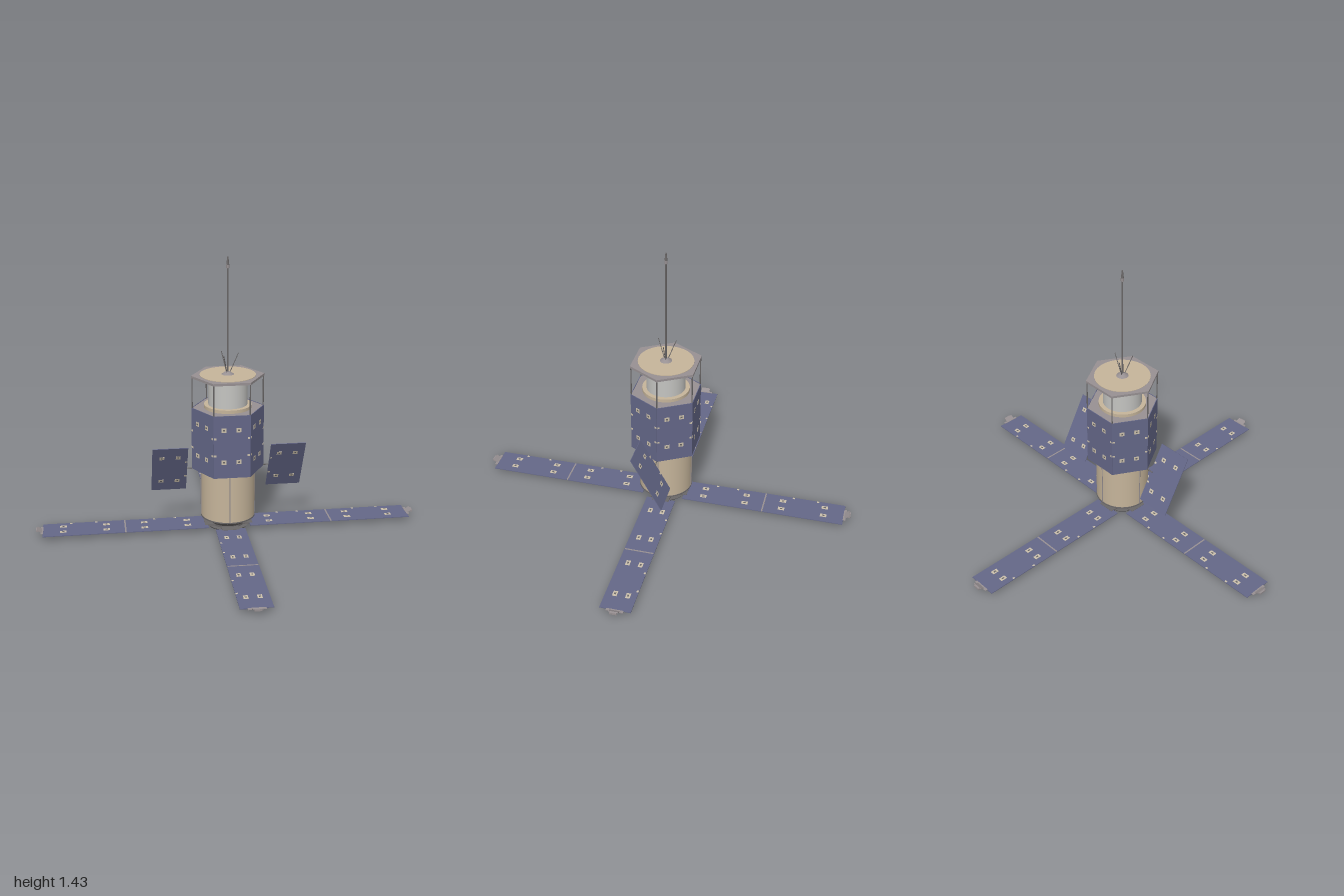
import * as THREE from 'three';

const mat = (name, color) => {
  const m = new THREE.MeshStandardMaterial({ color });
  m.name = name;
  return m;
};

export function createModel() {
  const blue = mat('solar blue', 0x646788);
  const tan = mat('tan foil', 0xc5b49a);
  const pale = mat('pale fitting', 0xcbc0ac);
  const white = mat('white shell', 0xc4c4c1);
  const grey = mat('frame grey', 0x979092);
  const dark = mat('dark metal', 0x6a6767);

  const model = new THREE.Group();
  model.name = 'satellite';

  const add = (parent, name, geometry, material, x = 0, y = 0, z = 0) => {
    const mesh = new THREE.Mesh(geometry, material);
    mesh.name = name;
    mesh.position.set(x, y, z);
    parent.add(mesh);
    return mesh;
  };
  const box = (parent, name, m, w, h, d, x, y, z) =>
    add(parent, name, new THREE.BoxGeometry(w, h, d), m, x, y, z);
  // Upright round part between two heights
  const drum = (name, m, rTop, rBottom, y0, y1, sides = 40) =>
    add(model, name, new THREE.CylinderGeometry(rTop, rBottom, y1 - y0, sides), m, 0, (y0 + y1) / 2, 0);
  // Hexagonal slab with corners on the x axis
  const hex = (name, m, r, y0, y1) => {
    const g = new THREE.CylinderGeometry(r, r, y1 - y0, 6).toNonIndexed();
    g.computeVertexNormals();
    g.rotateY(Math.PI / 2);
    return add(model, name, g, m, 0, (y0 + y1) / 2, 0);
  };
  const rod = (name, m, a, b, r) => {
    const from = new THREE.Vector3(...a), to = new THREE.Vector3(...b);
    const dir = to.clone().sub(from);
    const mesh = add(model, name, new THREE.CylinderGeometry(r, r, dir.length(), 8), m);
    mesh.position.copy(from).add(to).multiplyScalar(0.5);
    mesh.quaternion.setFromUnitVectors(new THREE.Vector3(0, 1, 0), dir.normalize());
    return mesh;
  };
  // Pale fitting with a dark centre, lying in the xy plane and showing on both faces
  const fitting = (parent, x, y, w, h) => {
    box(parent, 'panelFitting', pale, w, h, 0.0055, x, y, 0);
    box(parent, 'fittingCentre', dark, w * 0.36, h * 0.36, 0.0068, x, y, 0);
  };
  const stud = (parent, x, y) => box(parent, 'edgeStud', pale, 0.012, 0.01, 0.0055, x, y, 0);

  // Engine end
  drum('nozzle', grey, 0.04, 0.03, 0, 0.015);
  drum('baseDisc', dark, 0.11, 0.105, 0.012, 0.019);
  drum('baseNeck', dark, 0.085, 0.085, 0.018, 0.034);
  drum('baseCone', dark, 0.138, 0.09, 0.032, 0.067);
  drum('baseRim', dark, 0.142, 0.142, 0.066, 0.072);
  const ring = add(model, 'baseRing', new THREE.TorusGeometry(0.07, 0.004, 8, 32), grey, 0, 0.012, 0);
  ring.rotation.x = Math.PI / 2;

  // Lower cylinder with four conduits
  drum('lowerCylinder', tan, 0.139, 0.139, 0.07, 0.34);
  for (let i = 0; i < 4; i++) {
    const a = i * Math.PI / 2 + 0.05, x = 0.14 * Math.cos(a), z = 0.14 * Math.sin(a);
    rod('conduit', grey, [x, 0.07, z], [x, 0.335, z], 0.0025);
  }

  // Hexagonal body clad in solar panels
  hex('bodyCore', grey, 0.184, 0.33, 0.657);
  for (let i = 0; i < 6; i++) {
    const side = new THREE.Group();
    side.name = 'bodyPanel';
    side.rotation.y = i * Math.PI / 3;
    const face = new THREE.Group();
    face.position.set(0, 0.494, 0.1607);
    side.add(face);
    box(face, 'bodySolarPanel', blue, 0.186, 0.33, 0.0035, 0, 0, 0);
    for (const y of [-0.08, 0.09]) {
      for (const x of [-0.041, 0.035]) fitting(face, x, y, 0.026, 0.023);
    }
    for (const x of [-0.085, 0.085]) for (const y of [-0.045, 0.045]) stud(face, x, y);
    model.add(side);
  }

  // Upper deck
  drum('deckRing', tan, 0.122, 0.122, 0.655, 0.674);
  drum('upperCylinder', white, 0.1, 0.1, 0.67, 0.816);
  hex('topPlate', grey, 0.188, 0.816, 0.828);
  drum('topDisc', tan, 0.143, 0.143, 0.826, 0.8305);
  for (let i = 0; i < 6; i++) {
    const a = i * Math.PI / 3, x = 0.183 * Math.cos(a), z = 0.183 * Math.sin(a);
    rod('plateStrut', dark, [x, 0.65, z], [x, 0.82, z], 0.0032);
  }

  // Antenna mast and whiskers
  drum('mastFoot', grey, 0.012, 0.032, 0.83, 0.844, 24);
  drum('mast', dark, 0.004, 0.0045, 0.84, 1.385, 10);
  drum('mastCollar', grey, 0.008, 0.008, 1.373, 1.39, 12);
  drum('mastTip', dark, 0.003, 0.0075, 1.39, 1.43, 12);
  for (let i = 0; i < 3; i++) {
    const a = i * Math.PI * 2 / 3;
    const c = Math.cos(a), s = Math.sin(a);
    rod('whisker', dark, [0.01 * c, 0.838, 0.01 * s], [0.054 * c, 0.94, 0.054 * s], 0.002);
  }

  // Four long folding solar arms
  [[0, -1], [Math.PI / 2, -1], [Math.PI, 1], [-Math.PI / 2, 1]].forEach(([turn, edge]) => {
    const arm = new THREE.Group();
    arm.name = 'solarArm';
    arm.position.y = 0.0235;
    arm.rotation.y = turn;
    const flat = new THREE.Group();
    flat.rotation.x = -Math.PI / 2;
    arm.add(flat);
    box(flat, 'innerPanel', blue, 0.428, 0.155, 0.0035, 0.323, 0, 0);
    box(flat, 'outerPanel', blue, 0.422, 0.155, 0.0035, 0.754, 0, 0);
    box(flat, 'foldHinge', grey, 0.008, 0.15, 0.005, 0.54, 0, 0);
    box(flat, 'rootHinge', dark, 0.06, 0.09, 0.006, 0.095, 0, 0);
    for (const x of [0.215, 0.44, 0.637, 0.86]) {
      for (const y of [-0.035, 0.03]) fitting(flat, x, edge * y, 0.034, 0.023);
    }
    for (const x of [0.275, 0.385, 0.69, 0.82]) stud(flat, x, -edge * 0.071);
    // Stepped latch at the tip
    box(arm, 'tipBase', grey, 0.014, 0.004, 0.085, 0.97, 0.001, 0);
    const ramp = box(arm, 'tipRamp', grey, 0.026, 0.004, 0.05, 0.982, 0.008, 0);
    ramp.rotation.z = 0.55;
    box(arm, 'tipLatch', grey, 0.012, 0.01, 0.036, 0.994, 0.008, 0);
    model.add(arm);
  });

  // Tilted side panels
  for (const s of [-1, 1]) {
    const wing = new THREE.Group();
    wing.name = s > 0 ? 'leftPanel' : 'rightPanel';
    wing.position.set(s * 0.304, 0.33, 0.002);
    wing.rotation.x = 0.506;
    box(wing, 'sidePanel', blue, 0.182, 0.322, 0.0035, 0, 0, 0);
    for (const y of [-0.09, 0.09]) {
      for (const x of [-0.042, 0.042]) fitting(wing, x, y, 0.025, 0.022);
    }
    for (const y of [-0.055, 0.055]) stud(wing, -s * 0.084, y);
    model.add(wing);
    rod('panelArm', dark, [s * 0.13, 0.332, 0], [s * 0.225, 0.332, 0], 0.003);
  }

  return model;
}
